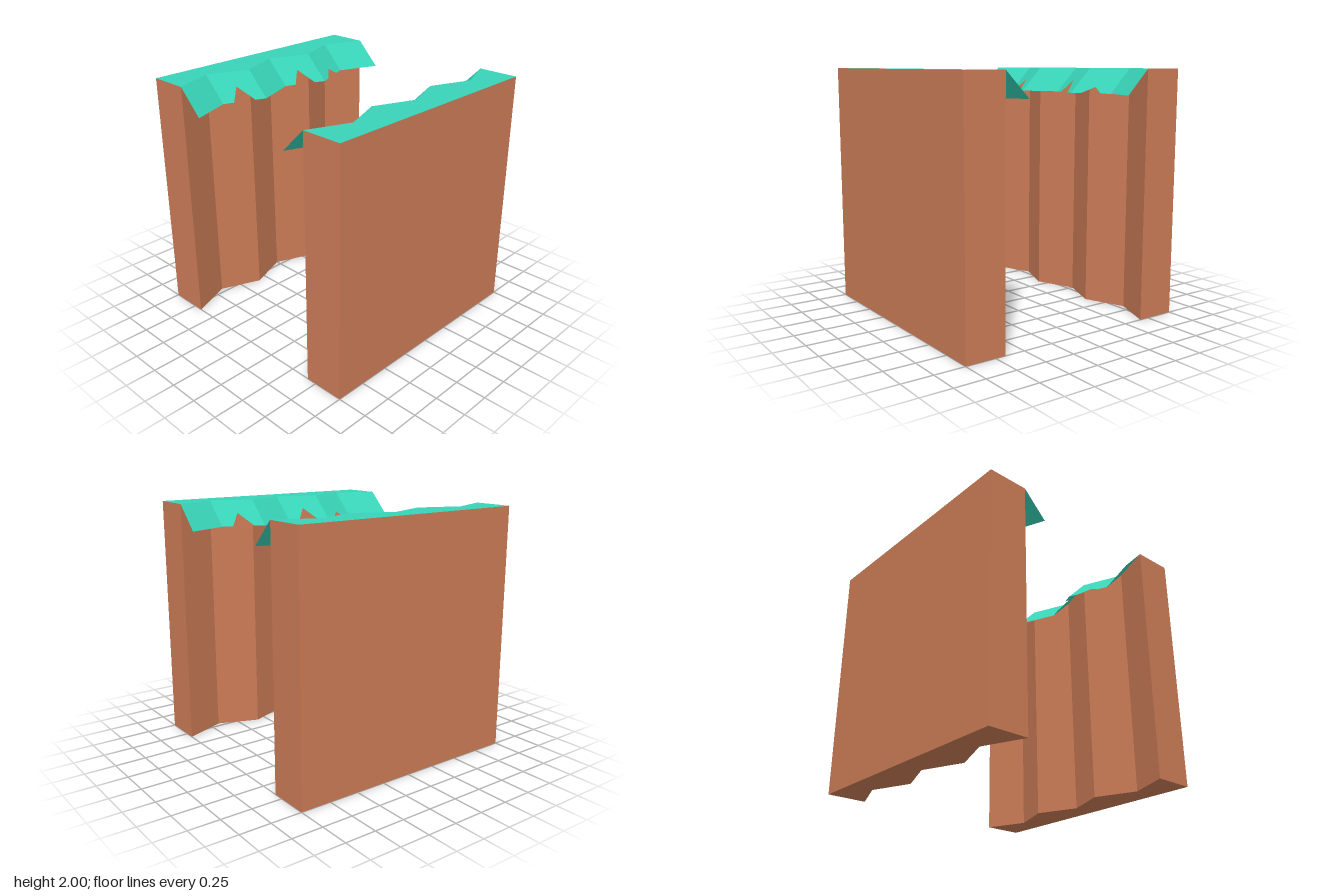
import * as THREE from 'three';
import { mergeGeometries } from 'three/addons/utils/BufferGeometryUtils.js';

const STEPS = 12;                                 // stations per unit of x
const NOTCHES = { '-6': 0.15, '-2': 0.1, '6': 0.1 }; // shorter overhang at these stations

// Ruled, flat-faced surface between two lines with equal point counts
function sheet(a, b) {
  const p = [];
  for (let i = 0; i < a.length - 1; i++) {
    for (const v of [a[i], b[i], a[i + 1], b[i], b[i + 1], a[i + 1]]) p.push(...v);
  }
  const g = new THREE.BufferGeometry();
  g.setAttribute('position', new THREE.Float32BufferAttribute(p, 3));
  g.computeVertexNormals();
  return g;
}

// Line along x; fn gives [y, z] for each station
function line(fn) {
  const points = [];
  for (let i = -STEPS; i <= STEPS; i++) points.push([i / STEPS, ...fn(i)]);
  return points;
}

// Zigzag depth of the cliff face
const faceZ = (i) => 2 / 3 + (Math.abs((Math.abs(i) % 8) - 4) / 4) * 0.1333;

function createCliff() {
  const dirt = new THREE.MeshStandardMaterial({ color: 0xcc7c57, flatShading: true });
  const grass = new THREE.MeshStandardMaterial({ color: 0x38d3b8, flatShading: true, side: THREE.DoubleSide });

  const outerTop = line(() => [2, 1]);
  const outerBase = line(() => [0, 1]);
  const innerBase = line((i) => [0, faceZ(i)]);
  const innerTop = line((i) => [2, faceZ(i)]);
  const fringe = line((i) => {
    const drop = NOTCHES[i] ?? 0.2;
    return [2 - drop, faceZ(i) - drop];
  });

  const cliff = new THREE.Group();
  const add = (name, geometry, material) => {
    const mesh = new THREE.Mesh(geometry, material);
    mesh.name = name;
    cliff.add(mesh);
  };

  // Earth body: outer side, underside, zigzag inner face and both ends
  const end = outerTop.length - 1;
  const edge = (base, top, k) => [base[k], top[k]];
  add('earthWall', mergeGeometries([
    sheet(outerTop, outerBase),
    sheet(outerBase, innerBase),
    sheet(innerBase, innerTop),
    sheet(edge(outerBase, outerTop, end), edge(innerBase, innerTop, end)),
    sheet(edge(innerBase, innerTop, 0), edge(outerBase, outerTop, 0)),
  ]), dirt);

  // Grass cap and the ragged flap hanging over the inner face
  add('grassTop', sheet(innerTop, outerTop), grass);
  add('grassOverhang', sheet(fringe, innerTop), grass);
  return cliff;
}

export function createModel() {
  const model = new THREE.Group();
  model.name = 'cliffPassage';

  // The back cliff is the front one turned half round
  ['frontCliff', 'backCliff'].forEach((name, k) => {
    const cliff = createCliff();
    cliff.name = name;
    cliff.rotation.y = k * Math.PI;
    model.add(cliff);
  });
  return model;
}
